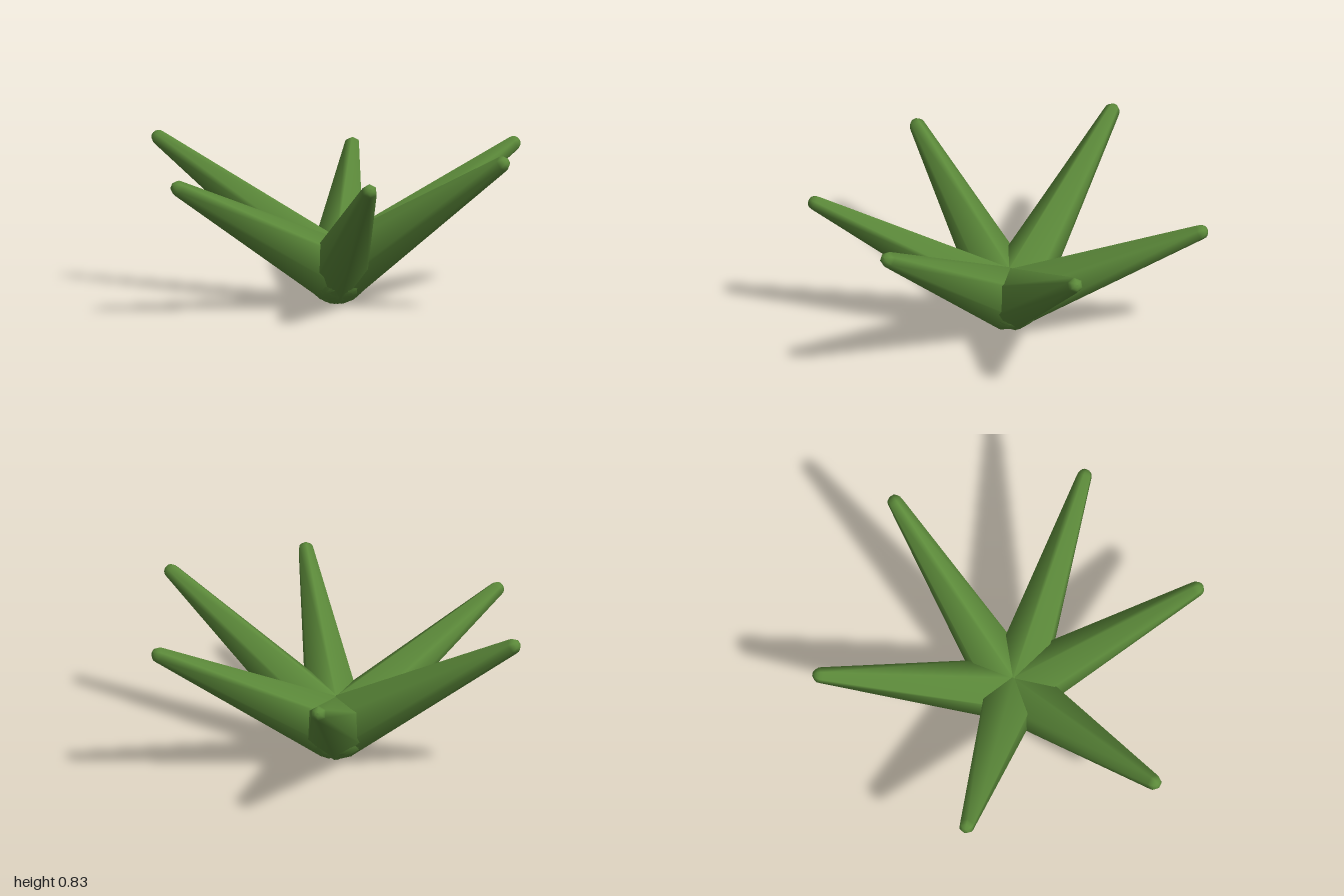
import * as THREE from 'three';

const BASE_R = 0.16, TIP_R = 0.04;
const CENTRE = new THREE.Vector3(0.01, 0.161, 0.04);

// Centres of the rounded leaf tips
const TIPS = [
  [-0.96, 0.775, -0.03],
  [-0.25, 0.645, -0.893],
  [0.683, 0.737, -0.672],
  [0.957, 0.79, 0.235],
  [0.488, 0.723, 0.882],
  [-0.54, 0.677, 0.843],
];

// Tapered capsule profile: round root, straight taper, round tip
function leafGeometry(length) {
  const points = [];
  const steps = 4;
  for (let i = 0; i <= steps; i++) {
    const a = (i / steps - 1) * Math.PI / 2;
    points.push(new THREE.Vector2(i ? BASE_R * Math.cos(a) : 0, BASE_R * Math.sin(a)));
  }
  for (let i = 0; i <= steps; i++) {
    const a = (i / steps) * Math.PI / 2;
    points.push(new THREE.Vector2(i < steps ? TIP_R * Math.cos(a) : 0, length + TIP_R * Math.sin(a)));
  }
  return new THREE.LatheGeometry(points, 6);
}

export function createModel() {
  const group = new THREE.Group();
  group.name = 'spikyPlant';
  const leafGreen = new THREE.MeshStandardMaterial({ color: 0x5c8a3a });
  leafGreen.name = 'leafGreen';
  const up = new THREE.Vector3(0, 1, 0);

  // Six-sided leaves fanning out of one root, each with a ridge on top
  TIPS.forEach((tip, i) => {
    const axis = new THREE.Vector3(...tip).sub(CENTRE);
    const length = axis.length();
    axis.normalize();
    const side = axis.clone().cross(up).normalize();
    const ridge = side.clone().cross(axis);
    const leaf = new THREE.Mesh(leafGeometry(length), leafGreen);
    leaf.name = `leaf${i + 1}`;
    leaf.quaternion.setFromRotationMatrix(new THREE.Matrix4().makeBasis(side, axis, ridge));
    leaf.position.copy(CENTRE);
    group.add(leaf);
  });
  return group;
}
